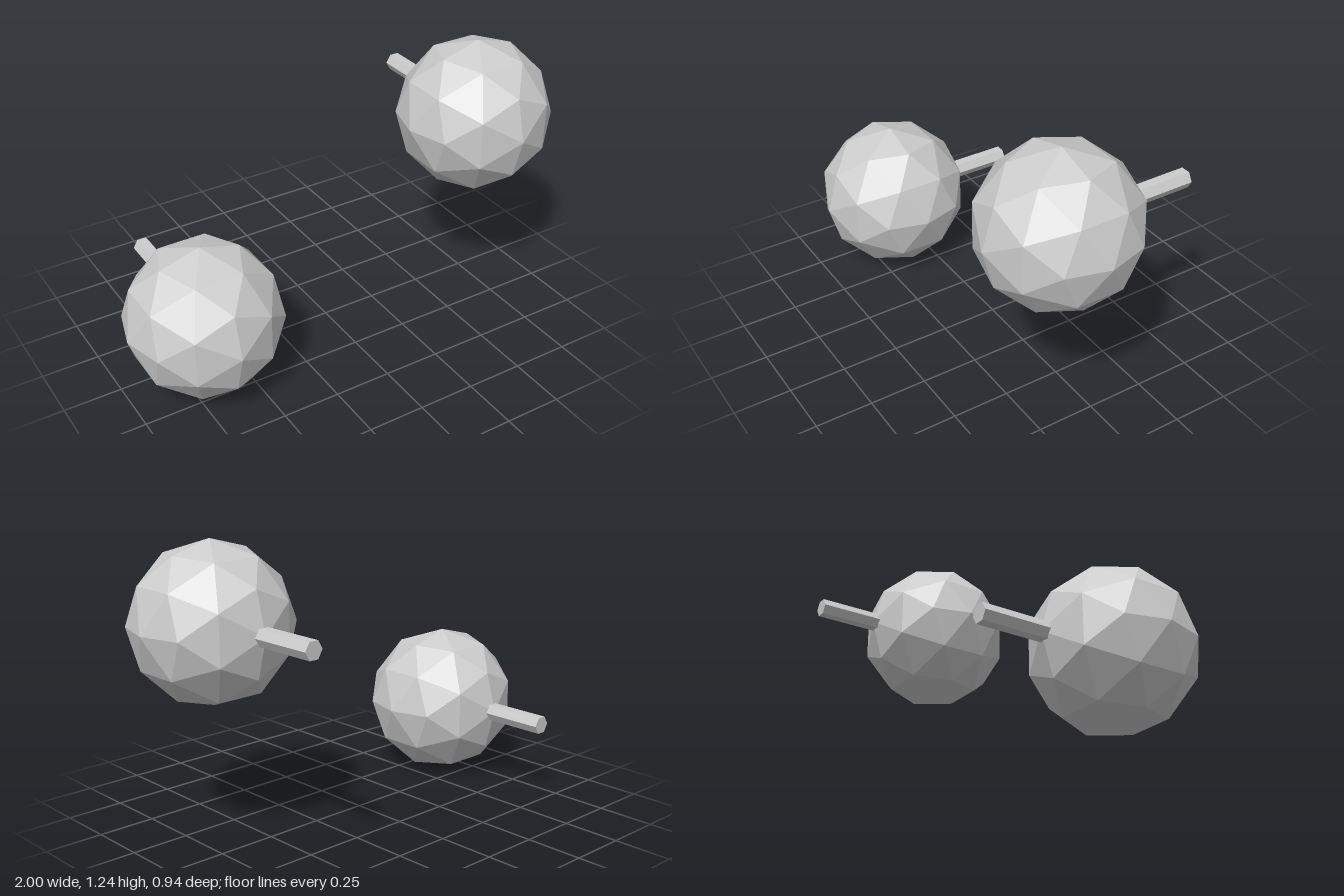
import * as THREE from 'three';

const BALL_RADIUS = 0.335;
const BALL_Z = 0.135;
const ROD_START = -0.15; // buried inside the ball
const ROD_END = -0.47;

export function createModel() {
  const model = new THREE.Group();
  const grey = new THREE.MeshStandardMaterial({ color: 0xcccccc, flatShading: true });
  grey.name = 'light grey';

  // faceted ball
  const ballGeometry = new THREE.IcosahedronGeometry(BALL_RADIUS, 1);

  // hexagonal rod along z, corners at its left and right
  const rodGeometry = new THREE.CylinderGeometry(0.041, 0.041, ROD_START - ROD_END, 6, 1, false, Math.PI / 6);
  rodGeometry.rotateX(Math.PI / 2);

  // ball with a rod sticking out of its back
  function addKnob(name, x, y) {
    const knob = new THREE.Group();
    knob.name = name;
    knob.position.set(x, y, 0);

    const ball = new THREE.Mesh(ballGeometry, grey);
    ball.name = 'ball';
    ball.position.z = BALL_Z;

    const rod = new THREE.Mesh(rodGeometry, grey);
    rod.name = 'rod';
    rod.position.z = (ROD_START + ROD_END) / 2;

    knob.add(ball, rod);
    model.add(knob);
  }

  addKnob('rightKnob', -0.665, 0.338);
  addKnob('leftKnob', 0.665, 0.91);

  return model;
}
